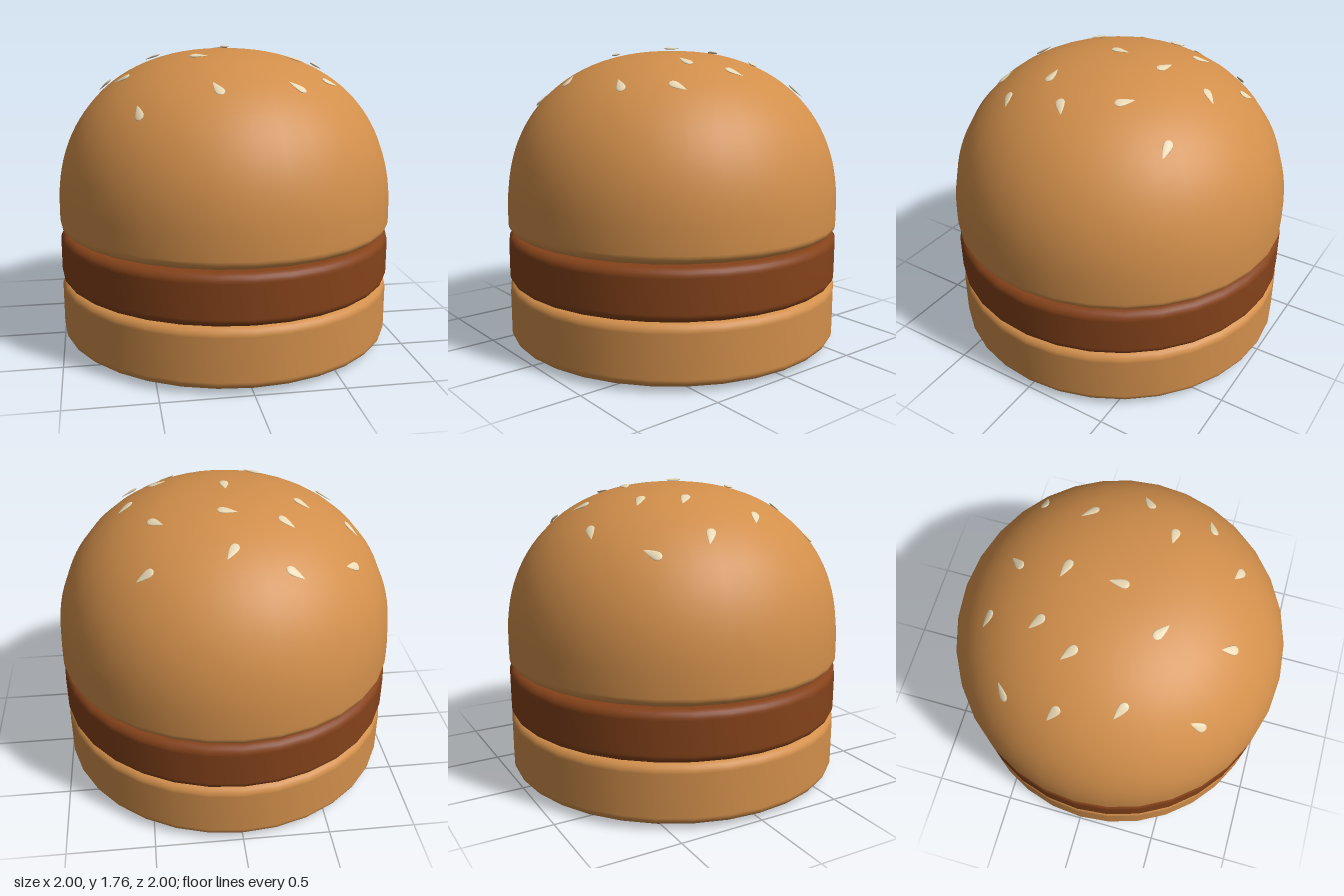
import * as THREE from 'three';

const BUN = 0xd28f4b, PATTY = 0x84421a, SEED = 0xead9b4;
const SEGMENTS = 32;
const DOME_BASE = 0.8, DOME_HEIGHT = 0.937, DOME_POWER = 2.25;

// Height of the top bun at radius r
const domeY = (r) => DOME_BASE + DOME_HEIGHT * Math.pow(Math.max(0, 1 - Math.pow(r, DOME_POWER)), 1 / DOME_POWER);

// Quarter-round corner between angles a0 and a1
function corner(cx, cy, rx, ry, a0, a1, steps = 6) {
  return Array.from({ length: steps + 1 }, (_, i) => {
    const a = a0 + (a1 - a0) * i / steps;
    return new THREE.Vector2(cx + rx * Math.cos(a), cy + ry * Math.sin(a));
  });
}

function layer(name, color, points) {
  const mesh = new THREE.Mesh(
    new THREE.LatheGeometry(points, SEGMENTS),
    new THREE.MeshStandardMaterial({ color })
  );
  mesh.name = name;
  return mesh;
}

// Rounded disc whose underside bulges slightly toward the middle
function discProfile(bottom, top, bulge, round = 0.05) {
  return [
    new THREE.Vector2(0, bottom),
    new THREE.Vector2(0.5, bottom + bulge * 0.25),
    new THREE.Vector2(0.8, bottom + bulge * 0.7),
    ...corner(1 - round, bottom + bulge + round, round, round, -Math.PI / 2, 0),
    ...corner(1 - round, top - round, round, round, 0, Math.PI / 2),
    new THREE.Vector2(0.8, top),
    new THREE.Vector2(0, top),
  ];
}

// Top bun: rounded lower rim and a squarish dome
function topBunProfile() {
  const points = [
    new THREE.Vector2(0, 0.665),
    new THREE.Vector2(0.8, 0.67),
    ...corner(0.94, 0.735, 0.06, 0.055, -Math.PI / 2, 0),
  ];
  const steps = 28;
  for (let i = 0; i <= steps; i++) {
    const a = (i / steps) * Math.PI / 2;
    const e = 2 / DOME_POWER;
    points.push(new THREE.Vector2(
      i === steps ? 0 : Math.pow(Math.cos(a), e),
      DOME_BASE + DOME_HEIGHT * Math.pow(Math.sin(a), e)
    ));
  }
  return points;
}

// Flattened teardrop, tip along +y, thin along z
function seedGeometry() {
  const profile = [
    [0, -0.052], [0.014, -0.048], [0.023, -0.038], [0.027, -0.024],
    [0.024, -0.004], [0.016, 0.022], [0.007, 0.045], [0, 0.06],
  ].map(([r, y]) => new THREE.Vector2(r, y));
  return new THREE.LatheGeometry(profile, 12).scale(1, 1, 0.25);
}

// Seed places on the dome: x, z, then the way the tip points in x and z
const SEEDS = [
  [-0.29, -0.65, -9, -3], [0.02, -0.57, 6, -8], [0.465, -0.565, 9, -1],
  [-0.64, -0.465, 8, -6], [-0.29, -0.36, -8, -7], [0.02, -0.295, -10, -3],
  [0.4, -0.275, -8, -8], [-0.695, -0.16, -8, -6], [-0.41, -0.15, -9, -8],
  [0, 0, 0, -1], [0.555, 0.015, 8, -6], [-0.605, 0.175, -9, -5],
  [-0.19, 0.27, 9, 6], [0.37, 0.2, -10, 0], [0.53, 0.385, 9, -4],
  [-0.54, 0.575, -1, -10], [-0.135, 0.635, -4, -9], [0.3, 0.585, -9, -4],
];

function makeSeeds() {
  const group = new THREE.Group();
  group.name = 'sesameSeeds';
  const geometry = seedGeometry();
  const material = new THREE.MeshStandardMaterial({ color: SEED });
  for (const [x, z, tx, tz] of SEEDS) {
    const r = Math.hypot(x, z);
    const slope = r > 0 ? (domeY(r + 0.01) - domeY(r - 0.01)) / 0.02 : 0;
    const normal = new THREE.Vector3(r ? -slope * x / r : 0, 1, r ? -slope * z / r : 0).normalize();
    // Lay the tip direction onto the surface
    const tip = new THREE.Vector3(tx, -(normal.x * tx + normal.z * tz) / normal.y, tz).normalize();
    const side = new THREE.Vector3().crossVectors(tip, normal);
    const seed = new THREE.Mesh(geometry, material);
    seed.name = 'sesameSeed';
    seed.quaternion.setFromRotationMatrix(new THREE.Matrix4().makeBasis(side, tip, normal));
    seed.position.set(x, domeY(r), z).addScaledVector(normal, 0.014);
    group.add(seed);
  }
  return group;
}

export function createModel() {
  const burger = new THREE.Group();
  burger.name = 'burger';
  burger.add(
    layer('bottomBun', BUN, discProfile(0, 0.375, 0.025)),
    layer('patty', PATTY, discProfile(0.37, 0.668, 0.005)),
    layer('topBun', BUN, topBunProfile()),
    makeSeeds()
  );
  return burger;
}
